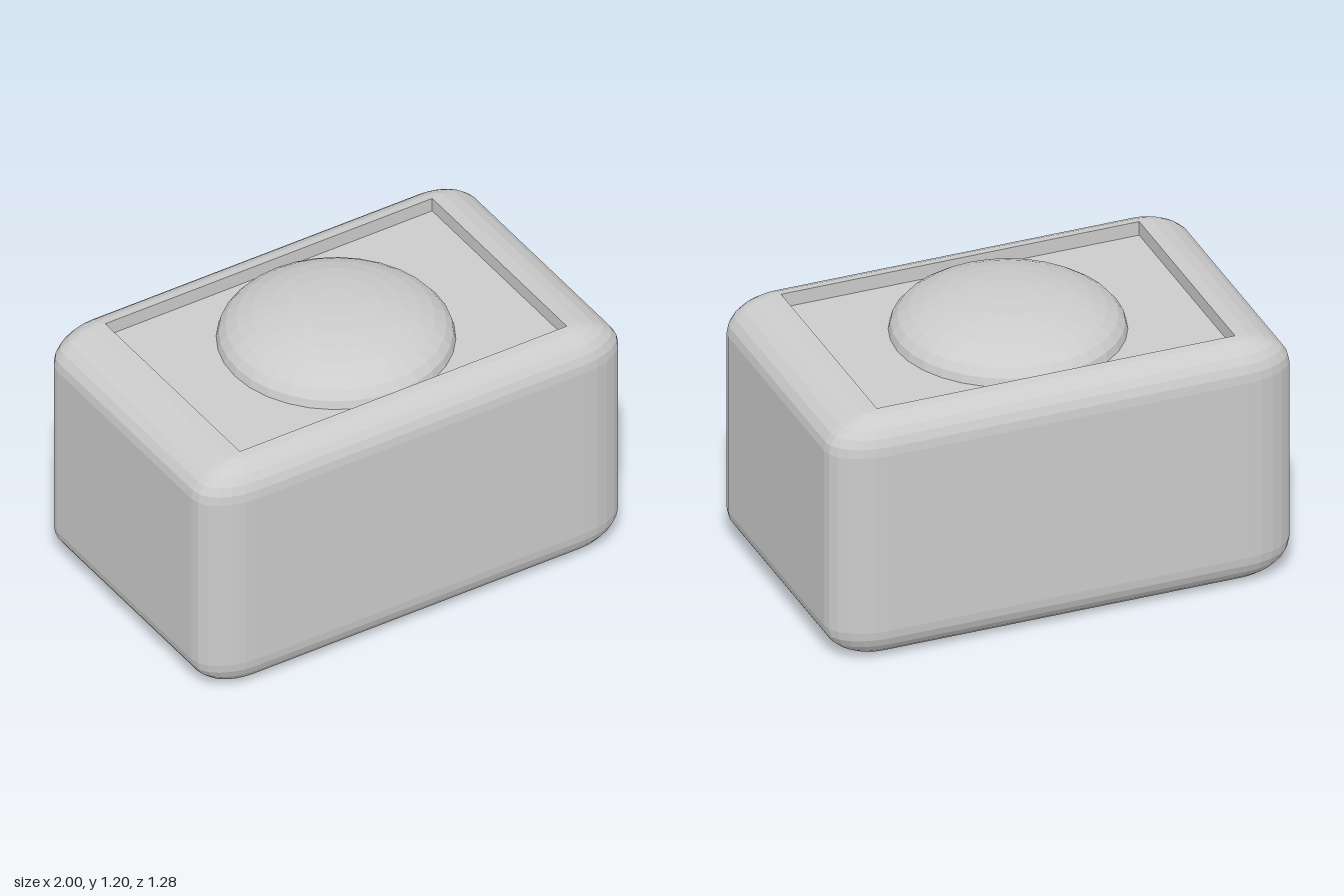
import * as THREE from 'three';

const CORE_X = 0.772, CORE_Z = 0.5;            // flat core, also the recess outline
const ROUND_X = 0.228, ROUND_Y = 0.145, ROUND_Z = 0.14;
const HEIGHT = 1.09, FLOOR = 1.028, STEPS = 6;

// One horizontal outline: a core rectangle with elliptical corners
function outline(y, round, core = 1) {
  const points = [];
  for (let corner = 0; corner < 4; corner++) {
    const sx = corner === 0 || corner === 3 ? 1 : -1;
    const sz = corner < 2 ? 1 : -1;
    for (let i = 0; i <= STEPS; i++) {
      const a = (corner + i / STEPS) * Math.PI / 2;
      points.push(new THREE.Vector3(
        sx * CORE_X * core + ROUND_X * round * Math.cos(a),
        y,
        sz * CORE_Z * core + ROUND_Z * round * Math.sin(a)));
    }
  }
  return points;
}

// Skin a stack of outlines with flat facets, skipping collapsed triangles
function skin(rings) {
  const positions = [];
  const tri = new THREE.Triangle();
  const add = (a, b, c) => {
    if (tri.set(a, b, c).getArea() < 1e-8) return;
    for (const p of [a, b, c]) positions.push(p.x, p.y, p.z);
  };
  for (let i = 0; i < rings.length - 1; i++) {
    const low = rings[i], high = rings[i + 1], n = low.length;
    for (let j = 0; j < n; j++) {
      const k = (j + 1) % n;
      add(low[j], high[j], high[k]);
      add(low[j], high[k], low[k]);
    }
  }
  const geometry = new THREE.BufferGeometry();
  geometry.setAttribute('position', new THREE.Float32BufferAttribute(positions, 3));
  geometry.computeVertexNormals();
  return geometry;
}

export function createModel() {
  const group = new THREE.Group();
  group.name = 'boxWithDome';
  const material = new THREE.MeshStandardMaterial({ color: 0xcccccc, flatShading: true });

  // Rounded body: underside, lower rounding, walls, upper rounding, recess
  const rings = [outline(0, 0, 0)];
  for (let i = 0; i <= STEPS; i++) {
    const a = i / STEPS * Math.PI / 2;
    rings.push(outline(ROUND_Y * (1 - Math.cos(a)), Math.sin(a)));
  }
  for (let i = 0; i <= STEPS; i++) {
    const a = i / STEPS * Math.PI / 2;
    rings.push(outline(HEIGHT - ROUND_Y * (1 - Math.sin(a)), Math.cos(a)));
  }
  rings.push(outline(FLOOR, 0), outline(FLOOR, 0, 0));
  const body = new THREE.Mesh(skin(rings), material);
  body.name = 'body';
  group.add(body);

  // Flattened dome standing on the recess floor
  const dome = new THREE.Mesh(
    new THREE.SphereGeometry(0.478, 32, 8, 0, Math.PI * 2, 0, Math.PI / 2), material);
  dome.name = 'dome';
  dome.scale.y = (1.204 - FLOOR) / 0.478;
  dome.position.y = FLOOR;
  group.add(dome);

  return group;
}
